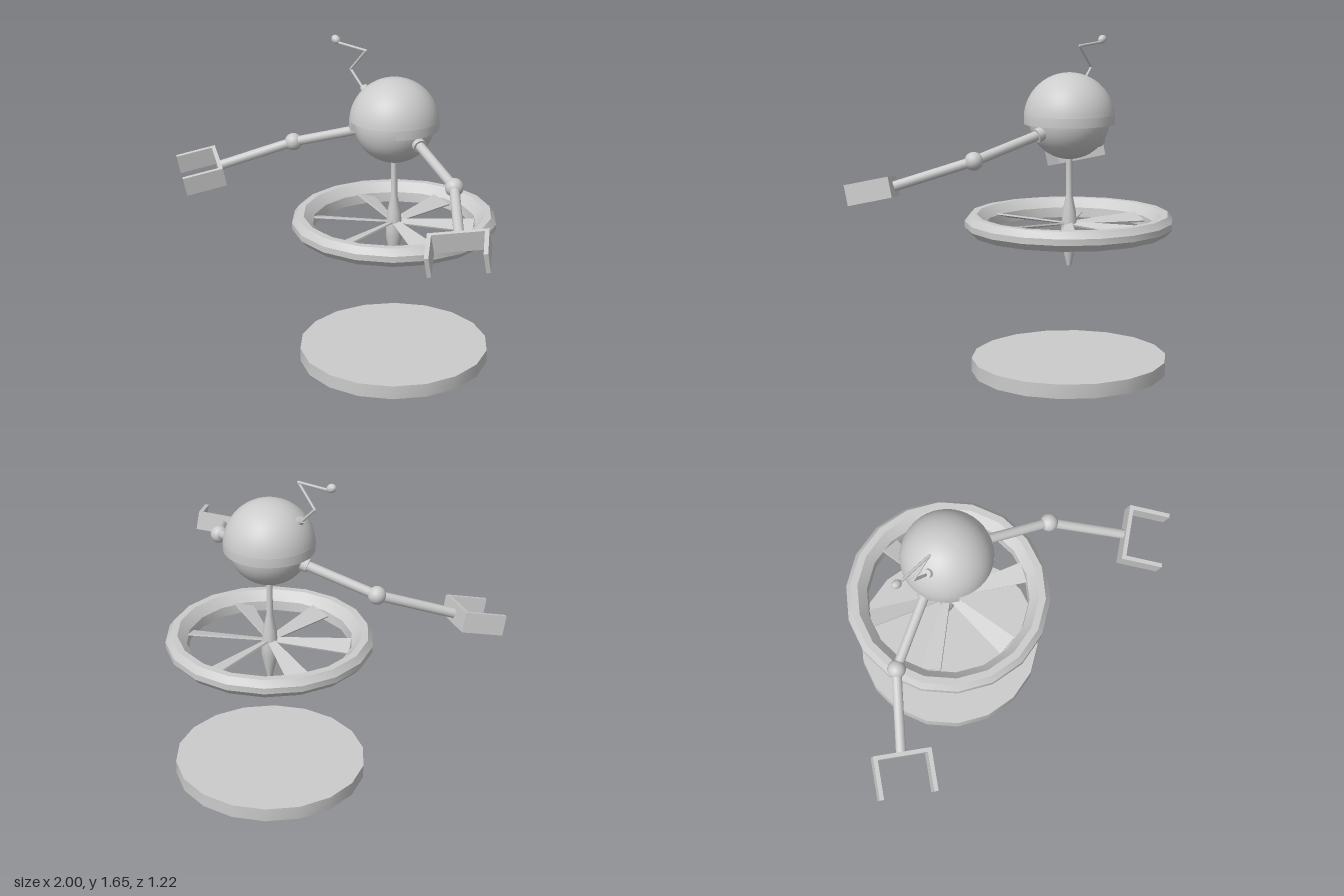
import * as THREE from 'three';
import { toCreasedNormals } from 'three/addons/utils/BufferGeometryUtils.js';

const material = new THREE.MeshStandardMaterial({ color: 0xcccccc, side: THREE.DoubleSide });
const AXIS_Z = -0.1, HEAD_Y = 1.265, SIDES = 18;

function add(parent, name, geometry, x = 0, y = 0, z = 0) {
  const mesh = new THREE.Mesh(geometry, material);
  mesh.name = name;
  mesh.position.set(x, y, z);
  parent.add(mesh);
  return mesh;
}

// Turned part; its profile runs bottom to top on the outside
function lathe(points, segments, start = 0, length = Math.PI * 2) {
  const profile = points.map(([r, y]) => new THREE.Vector2(r, y));
  return toCreasedNormals(new THREE.LatheGeometry(profile, segments, start, length), 0.5);
}

// Cylinder between two points
function rod(parent, name, a, b, radius, endRadius = radius, sides = 12) {
  const from = new THREE.Vector3(...a), to = new THREE.Vector3(...b);
  const dir = to.clone().sub(from);
  const mesh = add(parent, name, new THREE.CylinderGeometry(endRadius, radius, dir.length(), sides));
  mesh.position.copy(from).add(to).multiplyScalar(0.5);
  mesh.quaternion.setFromUnitVectors(new THREE.Vector3(0, 1, 0), dir.normalize());
  return mesh;
}

// Round head under a shell that has a notch cut over the face
function buildHead() {
  const head = new THREE.Group();
  head.name = 'head';
  head.position.set(0, HEAD_Y, AXIS_Z);
  add(head, 'headBall', new THREE.SphereGeometry(0.199, 40, 28));
  const R = 0.222, r = 0.198, brow = 0.02, rim = -0.026;

  const dome = [[r, brow]];
  const a0 = Math.asin(brow / R);
  for (let i = 0; i <= 16; i++) {
    const a = a0 + (Math.PI / 2 - a0) * i / 16;
    dome.push([R * Math.cos(a), R * Math.sin(a)]);
  }
  add(head, 'helmetDome', lathe(dome, 40));

  const band = [[r, rim], [R - 0.001, rim], [R, 0], [R - 0.001, brow]];
  const left = 0.74, right = -0.53;
  add(head, 'helmetBand', lathe(band, 34, left, Math.PI * 2 + right - left));
  const section = new THREE.Shape([...band, [r, brow]].map(([x, y]) => new THREE.Vector2(x, y)));
  for (const phi of [left, right]) {
    add(head, 'notchEdge', new THREE.ShapeGeometry(section)).rotation.y = phi - Math.PI / 2;
  }
  return head;
}

// Zigzag antenna with a bulb on its end
function buildAntenna() {
  const antenna = new THREE.Group();
  antenna.name = 'antenna';
  const z = -0.06;
  rod(antenna, 'antennaBase', [-0.135, 1.39, z], [-0.168, 1.425, z], 0.026, 0.02);
  const path = [[-0.16, 1.405, z], [-0.25, 1.497, z], [-0.148, 1.606, z], [-0.34, 1.617, z]];
  for (let i = 0; i < 3; i++) {
    rod(antenna, 'antennaWire', path[i], path[i + 1], 0.007, 0.007, 8);
    add(antenna, 'antennaBend', new THREE.SphereGeometry(0.007, 8, 6), ...path[i + 1]);
  }
  const bulb = add(antenna, 'antennaBulb', new THREE.SphereGeometry(0.02, 16, 12), -0.348, 1.63, z);
  bulb.scale.set(1.3, 1.05, 1);
  bulb.rotation.z = -0.5;
  return antenna;
}

// Jointed arm with a U-shaped gripper; s is the side
function buildArm(s) {
  const arm = new THREE.Group();
  arm.name = s > 0 ? 'leftArm' : 'rightArm';
  const shoulder = [s * 0.19, 1.2, -0.058], elbow = [s * 0.52, 1.098, 0.08], wrist = [s * 0.77, 0.987, 0.355];
  rod(arm, 'shoulder', [s * 0.16, 1.21, -0.07], [s * 0.206, 1.195, -0.051], 0.034);
  rod(arm, 'upperArm', shoulder, elbow, 0.024);
  add(arm, 'elbow', new THREE.SphereGeometry(0.044, 20, 14), ...elbow);
  rod(arm, 'forearm', elbow, wrist, 0.024);

  const tilt = new THREE.Group();
  tilt.name = 'gripper';
  tilt.position.set(...wrist);
  tilt.rotation.x = 0.238;
  const hand = new THREE.Group();
  hand.name = 'gripperPlates';
  hand.rotation.y = s * 0.61;
  tilt.add(hand);
  arm.add(tilt);
  const W = 0.276, H = 0.097, D = 0.204, T = 0.02;
  add(hand, 'palm', new THREE.BoxGeometry(W, H, T), 0, 0, T / 2);
  for (const side of [-1, 1]) {
    add(hand, 'finger', new THREE.BoxGeometry(T, H, D - T), side * (W - T) / 2, 0, (D + T) / 2);
  }
  return arm;
}

// Pitched blade that widens towards its tip
function bladeGeometry() {
  const shape = new THREE.Shape([
    new THREE.Vector2(-0.016, 0.015), new THREE.Vector2(0.016, 0.015),
    new THREE.Vector2(0.053, 0.4), new THREE.Vector2(-0.053, 0.4),
  ]);
  return new THREE.ExtrudeGeometry(shape, { depth: 0.008, bevelEnabled: false })
    .translate(0, 0, -0.004).rotateX(Math.PI / 2).rotateZ(0.3);
}

// Ducted rotor hanging on a spindle below the head
function buildRotor() {
  const rotor = new THREE.Group();
  rotor.name = 'rotor';
  rotor.position.z = AXIS_Z;
  add(rotor, 'spindle', lathe([[0, 0.53], [0.012, 0.533], [0.041, 0.665], [0.041, 0.71],
    [0.034, 0.8], [0.016, 0.89], [0.015, 1.08]], 16));
  add(rotor, 'rotorRing', lathe([[0.405, 0.702], [0.485, 0.702], [0.514, 0.735], [0.514, 0.765],
    [0.49, 0.797], [0.455, 0.797], [0.41, 0.752], [0.405, 0.702]], SIDES));
  const blade = bladeGeometry();
  for (let i = 0; i < 6; i++) {
    add(rotor, 'blade', blade, 0, 0.745, 0).rotation.y = i * Math.PI / 3 + 0.04;
  }
  return rotor;
}

export function createModel() {
  const model = new THREE.Group();
  model.name = 'hoverRobot';
  model.add(buildHead(), buildAntenna(), buildArm(1), buildArm(-1), buildRotor());
  // Flat disc on the ground
  add(model, 'baseDisc', toCreasedNormals(new THREE.CylinderGeometry(0.487, 0.487, 0.07, SIDES), 0.5), 0, 0.035, AXIS_Z);
  return model;
}
